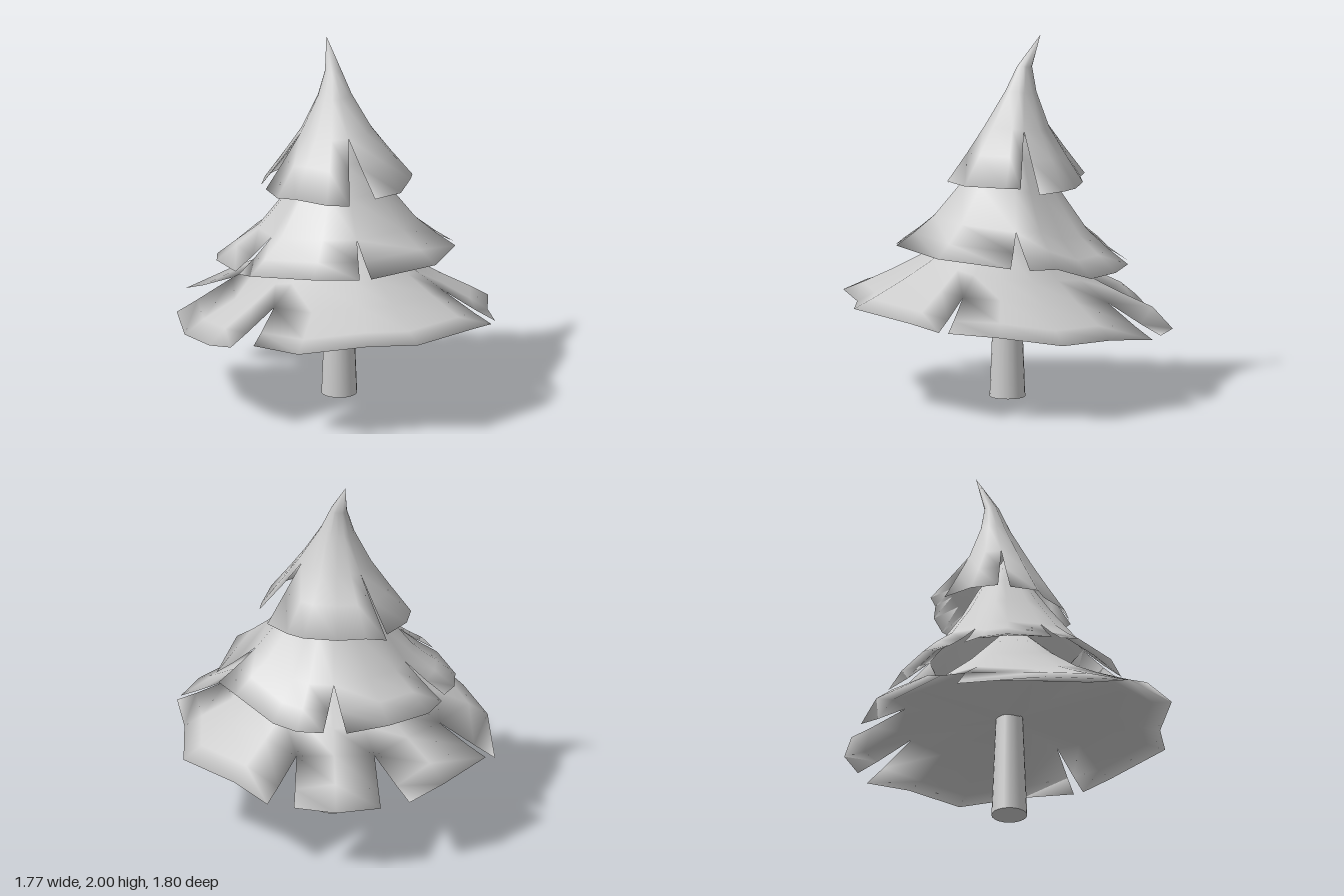
import * as THREE from 'three';
import { mergeVertices } from 'three/addons/utils/BufferGeometryUtils.js';

const material = new THREE.MeshStandardMaterial({ color: 0xcccccc, side: THREE.DoubleSide });
const { lerp } = THREE.MathUtils;
const THICKNESS = 0.035;

function mesh(name, geometry) {
  const m = new THREE.Mesh(geometry, material);
  m.name = name;
  return m;
}

// A tier is a ring of thick petals. Each petal lists its rim corners [x, y, z].
// levels: [radius fraction, height fraction, centre z], from the peak to the rim.
// Neighbouring petals are joined down to level notchLevel and split below it.
// bulges: how far the middle of each petal swells above its drooping edges.
function buildTier(name, { petals, bulges, topY, levels, notchLevel, ceilingY }) {
  const n = levels.length;
  const notchF = levels[notchLevel][0];
  const baseZ = levels[n - 1][2];
  const positions = [], indices = [], ring = [];

  // a line of points from the peak straight down to a rim corner
  const ridge = (rim, swell) => levels.map(([f, h, cz], k) => {
    const lift = k < notchLevel || k === n - 1 ? 0 : k === notchLevel ? swell / 2 : swell;
    return [rim[0] * f, lerp(rim[1], topY, h) + lift, cz + (rim[2] - baseZ) * f];
  });

  // a line from the peak down to the notch, then out along the petal's own edge
  const edge = (rim, shared) => ridge(shared, 0).map((pt, k) => {
    if (k <= notchLevel) return pt;
    const s = (levels[k][0] - notchF) / (1 - notchF);
    return [
      lerp(shared[0] * notchF, rim[0], s),
      lerp(lerp(shared[1], rim[1], s), topY, levels[k][1]),
      lerp(baseZ + (shared[2] - baseZ) * notchF, rim[2], s),
    ];
  });
  const middle = (a, b) => a.map((v, i) => (v + b[i]) / 2);

  // a sheet through neighbouring columns of points
  const addSheet = (columns, facesDown) => {
    const start = positions.length / 3, m = columns[0].length;
    columns.forEach((col, c) => {
      col.forEach((pt) => positions.push(...pt));
      if (c === 0) return;
      for (let k = 0; k < m - 1; k++) {
        const a = start + (c - 1) * m + k, b = a + m;
        if (facesDown) indices.push(a, a + 1, b, b, a + 1, b + 1);
        else indices.push(a, b, a + 1, b, b + 1, a + 1);
      }
    });
  };

  petals.forEach((petal, p) => {
    const before = petals[(p + petals.length - 1) % petals.length];
    const after = petals[(p + 1) % petals.length];
    const last = petal.length - 1;
    const first = edge(petal[0], middle(before[before.length - 1], petal[0]));
    const final = edge(petal[last], middle(petal[last], after[0]));
    const inner = petal.slice(1, last);
    addSheet([first, ...inner.map((rim) => ridge(rim, bulges[p])), final], false);

    // underside of the petal, meeting the skin along its edges and rim
    const under = [first, ...inner.map((rim) => ridge(rim, 0).map(([x, y, z], k) =>
      [x, k < n - 1 ? y - THICKNESS : y, z])), final].map((col) => col.slice(notchLevel));
    addSheet(under, true);
    ring.push(...under.map((col) => col[0]));
  });

  // ceiling closing the hollow around the trunk
  if (ceilingY) {
    const start = positions.length / 3;
    positions.push(0, ceilingY, baseZ);
    ring.forEach((pt, i) => {
      positions.push(...pt);
      indices.push(start, start + 1 + i, start + 1 + (i + 1) % ring.length);
    });
  }

  let g = new THREE.BufferGeometry();
  g.setAttribute('position', new THREE.Float32BufferAttribute(positions, 3));
  g.setIndex(indices);
  g = mergeVertices(g, 1e-4);
  g.computeVertexNormals();
  return mesh(name, g);
}

const bottomTier = {
  topY: 1.15, notchLevel: 3, ceilingY: 0.57,
  bulges: [0.01, 0, 0.02, 0.03, 0.06],
  levels: [[0, 1, 0], [0.3, 0.6, 0], [0.5, 0.38, 0], [0.68, 0.23, 0], [0.88, 0.08, 0], [1, 0, 0]],
  petals: [
    [[0.64, 0.39, -0.63], [0.72, 0.42, -0.36], [0.88, 0.44, -0.02], [0.74, 0.48, 0.3], [0.67, 0.51, 0.57]],
    [[0.63, 0.51, 0.61], [0.48, 0.54, 0.72], [0.07, 0.56, 0.9], [-0.18, 0.55, 0.79], [-0.57, 0.54, 0.73], [-0.75, 0.55, 0.53]],
    [[-0.83, 0.51, 0.4], [-0.88, 0.47, 0.22], [-0.89, 0.43, -0.1], [-0.74, 0.39, -0.56]],
    [[-0.63, 0.47, -0.69], [-0.3, 0.45, -0.88], [-0.09, 0.385, -0.9]],
    [[0.08, 0.38, -0.9], [0.33, 0.38, -0.86], [0.52, 0.385, -0.72]],
  ],
};

const middleTier = {
  topY: 1.55, notchLevel: 3,
  bulges: [0.01, 0, 0, 0.01, 0.02],
  levels: [[0, 1, -0.04], [0.25, 0.72, -0.04], [0.42, 0.5, -0.03], [0.66, 0.23, -0.02], [0.84, 0.1, -0.02], [1, 0, -0.02]],
  petals: [
    [[0.3, 0.75, -0.61], [0.41, 0.73, -0.5], [0.48, 0.72, -0.33], [0.6, 0.81, -0.09], [0.63, 0.82, 0.08]],
    [[0.6, 0.83, 0.18], [0.34, 0.86, 0.51], [-0.08, 0.865, 0.6]],
    [[-0.14, 0.86, 0.58], [-0.36, 0.85, 0.45], [-0.62, 0.82, 0.18], [-0.64, 0.8, 0.07]],
    [[-0.64, 0.8, 0.02], [-0.64, 0.78, -0.24], [-0.58, 0.77, -0.37], [-0.49, 0.765, -0.44]],
    [[-0.45, 0.76, -0.5], [-0.32, 0.76, -0.62], [-0.07, 0.75, -0.66], [0.18, 0.745, -0.655]],
  ],
};

const topTier = {
  topY: 2, notchLevel: 3,
  bulges: [0, 0, 0, 0],
  levels: [[0, 1, -0.21], [0.11, 0.79, -0.12], [0.23, 0.62, -0.1], [0.48, 0.38, -0.08], [0.72, 0.2, -0.08], [1, 0, -0.08]],
  petals: [
    [[-0.12, 1.19, -0.51], [-0.02, 1.19, -0.45], [0.13, 1.19, -0.41], [0.29, 1.19, -0.31], [0.35, 1.19, -0.22], [0.4, 1.19, -0.06]],
    [[0.4, 1.23, 0.05], [0.36, 1.23, 0.12], [0.22, 1.23, 0.31], [0.05, 1.23, 0.35]],
    [[-0.08, 1.19, 0.3], [-0.19, 1.19, 0.24], [-0.31, 1.19, 0.08], [-0.39, 1.19, 0.02], [-0.39, 1.19, -0.14]],
    [[-0.39, 1.19, -0.21], [-0.31, 1.19, -0.34], [-0.15, 1.19, -0.44]],
  ],
};

export function createModel() {
  const tree = new THREE.Group();
  tree.name = 'tree';

  // tapered trunk reaching up into the lowest tier
  const trunk = mesh('trunk', new THREE.CylinderGeometry(0.072, 0.098, 0.65, 20));
  trunk.position.set(-0.005, 0.325, -0.02);
  tree.add(trunk);

  tree.add(buildTier('bottomTier', bottomTier));
  tree.add(buildTier('middleTier', middleTier));
  tree.add(buildTier('topTier', topTier));
  return tree;
}
